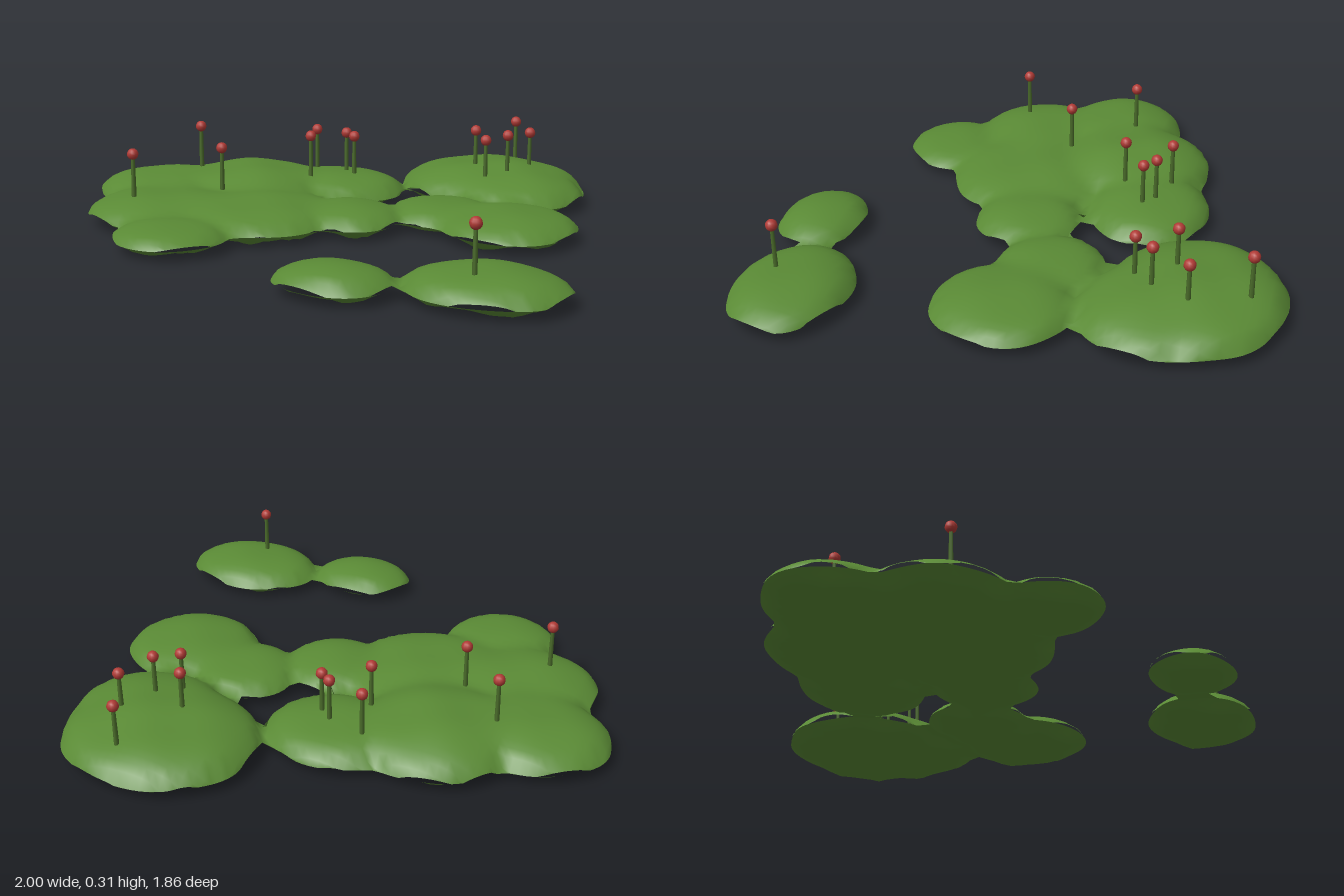
import * as THREE from 'three';

// Cushions: x, z, radius x, radius z, dome height
const cushions = [
  [-0.72, -0.12, 0.28, 0.24, 0.085], [-0.42, -0.24, 0.30, 0.29, 0.105],
  [-0.10, -0.36, 0.255, 0.22, 0.075], [-0.60, 0.18, 0.28, 0.26, 0.072],
  [-0.27, 0.12, 0.33, 0.31, 0.068], [-0.43, 0.49, 0.20, 0.185, 0.05],
  [0.08, 0.05, 0.195, 0.19, 0.06], [0.38, -0.11, 0.20, 0.19, 0.055],
  [0.65, -0.02, 0.24, 0.24, 0.065], [0.45, -0.62, 0.35, 0.31, 0.1],
  [0.56, -0.50, 0.27, 0.25, 0.085], [0.27, 0.775, 0.195, 0.152, 0.062],
  [0.735, 0.69, 0.265, 0.2, 0.072],
];

// Spore stalks: x, z, height of the cap
const stalks = [
  [-0.68, 0.26, 0.266], [-0.62, -0.2, 0.287], [-0.435, 0.02, 0.258],
  [-0.215, -0.42, 0.26], [-0.18, -0.25, 0.268], [-0.08, -0.385, 0.262],
  [-0.035, -0.345, 0.258], [0.40, -0.55, 0.271], [0.47, -0.42, 0.262],
  [0.505, -0.81, 0.265], [0.54, -0.49, 0.272], [0.60, -0.62, 0.262],
  [0.71, 0.755, 0.263],
];

const RIM = 0.04;
const wobble = (x, z) => Math.sin(17 * x + 5 * z) * Math.sin(19 * z - 4 * x + 1);
const reach = (x, z, [cx, cz, rx, rz]) => Math.hypot((x - cx) / rx, (z - cz) / rz);

// Approximate distance inside the blended outline (positive inside)
function inside(x, z) {
  const k = 0.015;
  let sum = 0;
  for (const c of cushions) sum += Math.exp((1 - reach(x, z, c)) * Math.min(c[2], c[3]) / k);
  return k * Math.log(sum) + 0.006 * wobble(x, z);
}

// Blended dome height of the upper surface
function topHeight(x, z) {
  let sum = 0;
  for (const c of cushions) {
    const dome = c[4] * Math.sqrt(Math.max(0, 1 - reach(x, z, c) ** 2));
    sum += dome ** 6;
  }
  const h = sum ** (1 / 6);
  return RIM + h * (1 + 0.05 * wobble(x + 0.3, z));
}

// Flat, slightly uneven underside that rises to the rim
function bottomHeight(x, z) {
  const t = Math.min(1, Math.max(0, inside(x, z)) / 0.05);
  return RIM - t * (0.028 + 0.012 * wobble(1.3 * x, 1.3 * z));
}

// Moves a point outside the outline onto it
function snap(x, z) {
  const e = 0.002;
  for (let i = 0; i < 6; i++) {
    const f = inside(x, z);
    const gx = (inside(x + e, z) - inside(x - e, z)) / (2 * e);
    const gz = (inside(x, z + e) - inside(x, z - e)) / (2 * e);
    const g = Math.max(0.05, gx * gx + gz * gz);
    x -= f * gx / g;
    z -= f * gz / g;
  }
  return [x, z];
}

// Grid sheet trimmed to the outline, facing up or down
function sheet(height, up) {
  const step = 0.03, n = 72, start = -1.08;
  const at = (i) => start + i * step;
  const isIn = (i, j) => inside(at(i), at(j)) > 0;
  const positions = [], index = [], ids = new Map();
  const vertex = (i, j) => {
    const key = i * 1000 + j;
    if (!ids.has(key)) {
      const [x, z] = isIn(i, j) ? [at(i), at(j)] : snap(at(i), at(j));
      ids.set(key, positions.length / 3);
      positions.push(x, height(x, z), z);
    }
    return ids.get(key);
  };
  for (let i = 0; i < n; i++) {
    for (let j = 0; j < n; j++) {
      const corners = [[i, j], [i, j + 1], [i + 1, j + 1], [i + 1, j]];
      if (!corners.some(([a, b]) => isIn(a, b))) continue;
      const [a, b, c, d] = corners.map(([p, q]) => vertex(p, q));
      if (up) index.push(a, b, c, a, c, d);
      else index.push(a, c, b, a, d, c);
    }
  }
  const geometry = new THREE.BufferGeometry();
  geometry.setAttribute('position', new THREE.Float32BufferAttribute(positions, 3));
  geometry.setIndex(index);
  geometry.computeVertexNormals();
  return geometry;
}

function material(name, color) {
  const m = new THREE.MeshStandardMaterial({ color });
  m.name = name;
  return m;
}

export function createModel() {
  const model = new THREE.Group();
  model.name = 'mossPatch';
  const moss = material('moss green', 0x5a8a35);
  const stem = material('stalk green', 0x4a6b2a);
  const cap = material('cap red', 0xb03a35);

  const add = (parent, name, geometry, mat, x = 0, y = 0, z = 0) => {
    const mesh = new THREE.Mesh(geometry, mat);
    mesh.name = name;
    mesh.position.set(x, y, z);
    parent.add(mesh);
  };

  // Moss cushions
  add(model, 'mossTop', sheet(topHeight, true), moss);
  add(model, 'mossUnderside', sheet(bottomHeight, false), moss);

  // Spore stalks with round caps
  const length = 0.16;
  const stemGeometry = new THREE.CylinderGeometry(0.007, 0.009, length, 6);
  const capGeometry = new THREE.SphereGeometry(0.021, 10, 8);
  for (const [x, z, y] of stalks) {
    const stalk = new THREE.Group();
    stalk.name = 'sporeStalk';
    stalk.position.set(x, y, z);
    add(stalk, 'stem', stemGeometry, stem, 0, -length / 2, 0);
    add(stalk, 'cap', capGeometry, cap);
    model.add(stalk);
  }
  return model;
}
